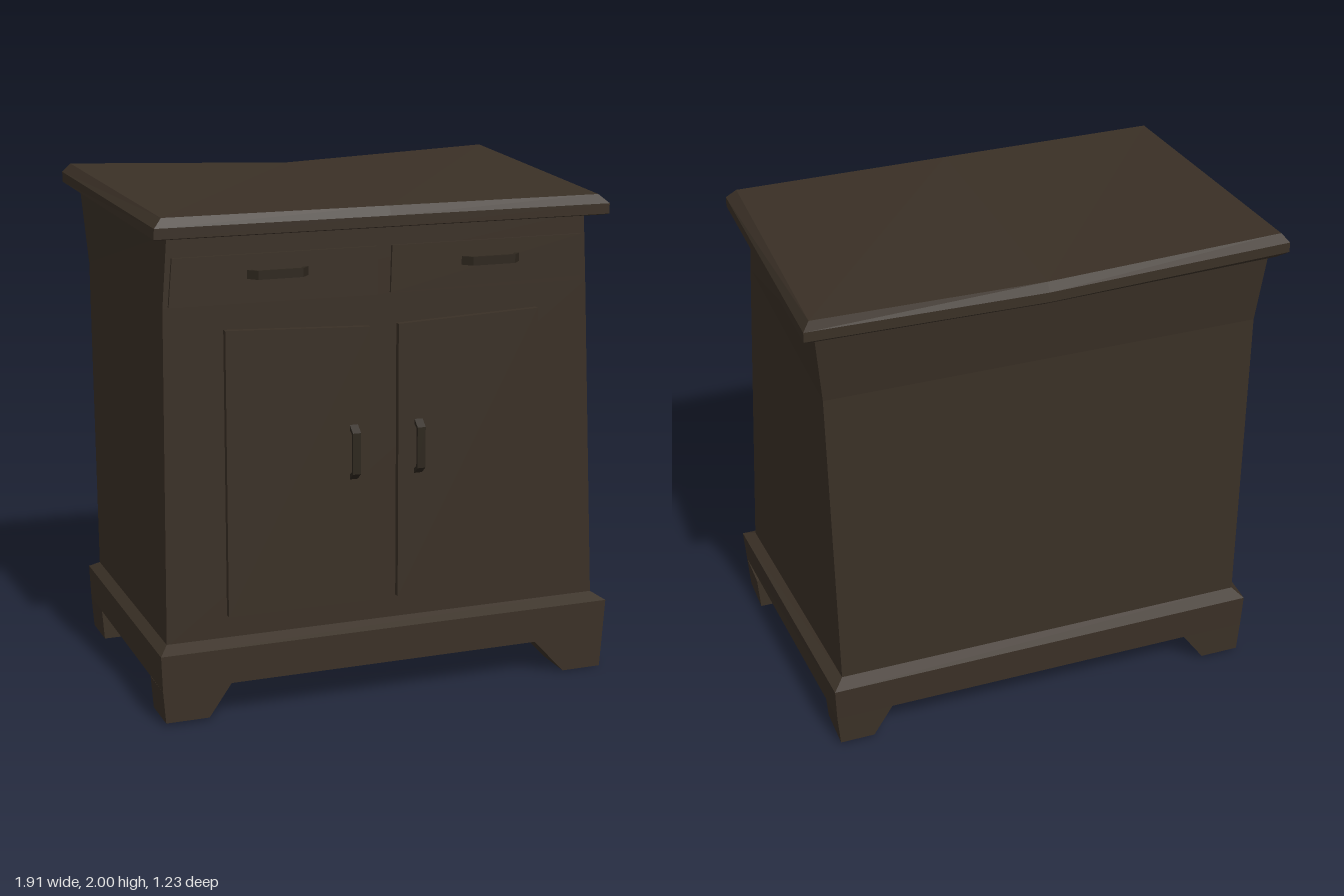
import * as THREE from 'three';

const wood = new THREE.MeshStandardMaterial({ color: 0x3a3026, side: THREE.DoubleSide });
wood.name = 'dark brown wood';
const metal = new THREE.MeshStandardMaterial({ color: 0x2d261d });
metal.name = 'dark handle metal';

// Flat-faced skin through rings of points, with optional end caps
function loft(name, rings, capStart, capEnd, material = wood) {
  const pos = [];
  const quad = (a, b, c, d) => pos.push(...a, ...b, ...c, ...a, ...c, ...d);
  const n = rings[0].length;
  for (let r = 0; r < rings.length - 1; r++) {
    const lo = rings[r], hi = rings[r + 1];
    for (let i = 0; i < n; i++) {
      const j = (i + 1) % n;
      quad(lo[i], lo[j], hi[j], hi[i]);
    }
  }
  for (let i = 0; i < n / 2 - 1; i++) {
    const s = rings[0], e = rings[rings.length - 1];
    if (capStart) quad(s[n - 1 - i], s[n - 2 - i], s[i + 1], s[i]);
    if (capEnd) quad(e[i], e[i + 1], e[n - 2 - i], e[n - 1 - i]);
  }
  const geo = new THREE.BufferGeometry();
  geo.setAttribute('position', new THREE.Float32BufferAttribute(pos, 3));
  geo.computeVertexNormals();
  const mesh = new THREE.Mesh(geo, material);
  mesh.name = name;
  return mesh;
}

// Four-sided panel on the front, corners counterclockwise from lower left
function panel(name, corners, zBack, zFront) {
  const ring = z => corners.map(([x, y]) => [x, y, z]);
  return loft(name, [ring(zBack), ring(zFront)], true, true);
}

// Bent strap handle running along x, standing off the surface at z = 0
function handle(name, half, x, y, z, upright) {
  const inner = half * 0.68, h = 0.036, t = 0.012;
  const shape = new THREE.Shape([
    [-half, 0], [-half + 0.02, 0], [-inner, h - t], [inner, h - t], [half - 0.02, 0],
    [half, 0], [inner + 0.006, h], [-inner - 0.006, h],
  ].map(p => new THREE.Vector2(...p)));
  const geo = new THREE.ExtrudeGeometry(shape, { depth: 0.033, bevelEnabled: false });
  geo.translate(0, 0, -0.0165);
  geo.rotateX(Math.PI / 2);
  if (upright) geo.rotateZ(Math.PI / 2);
  const mesh = new THREE.Mesh(geo, metal);
  mesh.name = name;
  mesh.position.set(x, y, z);
  return mesh;
}

export function createModel() {
  const group = new THREE.Group();
  group.name = 'cabinet';

  // Body, open underneath, flaring at the top of the back
  const bodyFoot = y => [[-0.88, y, 0.55], [0.91, y, 0.55], [0.83, y, -0.515], [-0.87, y, -0.515]];
  group.add(loft('body', [
    bodyFoot(0.3),
    [[-0.87, 1.6, 0.55], [0.845, 1.6, 0.55], [0.845, 1.6, -0.505], [-0.88, 1.6, -0.505]],
    [[-0.85, 1.87, 0.55], [0.83, 1.87, 0.55], [0.875, 1.9, -0.545], [-0.9, 1.9, -0.545]],
  ], false, false));

  // Warped top with a moulded edge and a sag along the back
  group.add(loft('top', [
    [[-0.9, 1.86, 0.595], [0, 1.86, 0.595], [0.89, 1.86, 0.595],
      [0.9, 1.9, -0.58], [0, 1.872, -0.56], [-0.92, 1.9, -0.57]],
    [[-0.915, 1.865, 0.61], [0, 1.865, 0.61], [0.91, 1.865, 0.61],
      [0.93, 1.925, -0.615], [0, 1.89, -0.585], [-0.96, 1.925, -0.595]],
    [[-0.912, 1.905, 0.61], [0, 1.905, 0.61], [0.91, 1.905, 0.61],
      [0.93, 1.965, -0.615], [0, 1.93, -0.585], [-0.96, 1.965, -0.595]],
    [[-0.88, 1.94, 0.59], [0, 1.94, 0.59], [0.87, 1.94, 0.59],
      [0.905, 2, -0.6], [0, 1.965, -0.565], [-0.93, 2, -0.575]],
  ], true, true));

  // Hollow plinth with a sloped upper edge
  group.add(loft('plinth', [
    bodyFoot(0.3),
    bodyFoot(0.14),
    [[-0.912, 0.14, 0.6], [0.945, 0.14, 0.6], [0.87, 0.14, -0.56], [-0.9, 0.14, -0.56]],
    [[-0.917, 0.28, 0.6], [0.955, 0.28, 0.6], [0.875, 0.28, -0.565], [-0.905, 0.28, -0.565]],
    bodyFoot(0.308),
  ], false, false));

  // Feet: outer x at top and bottom, inner x at top and bottom, outer and inner z, base height
  const feet = [
    ['frontRightFoot', -0.912, -0.902, -0.64, -0.73, 0.6, 0.425, 0.012],
    ['frontLeftFoot', 0.945, 0.935, 0.64, 0.77, 0.6, 0.425, 0],
    ['backRightFoot', -0.9, -0.89, -0.64, -0.73, -0.56, -0.38, 0.012],
    ['backLeftFoot', 0.87, 0.86, 0.64, 0.72, -0.56, -0.38, 0.012],
  ];
  for (const [name, outTop, outLow, inTop, inLow, zOut, zIn, y0] of feet) {
    const ring = (a, b, y) => {
      const [x0, x1] = [Math.min(a, b), Math.max(a, b)];
      const [z0, z1] = [Math.min(zOut, zIn), Math.max(zOut, zIn)];
      return [[x0, y, z1], [x1, y, z1], [x1, y, z0], [x0, y, z0]];
    };
    group.add(loft(name, [ring(outLow, inLow, y0), ring(outTop, inTop, 0.14)], true, true));
  }

  // Drawer fronts and doors
  group.add(
    panel('rightDrawer', [[-0.85, 1.605], [-0.035, 1.6], [-0.035, 1.785], [-0.835, 1.785]], 0.54, 0.562),
    panel('leftDrawer', [[0.02, 1.605], [0.815, 1.62], [0.815, 1.785], [0.025, 1.785]], 0.54, 0.562),
    panel('rightDoor', [[-0.64, 0.397], [-0.065, 0.397], [-0.067, 1.483], [-0.64, 1.507]], 0.54, 0.575),
    panel('leftDoor', [[0.052, 0.397], [0.7, 0.387], [0.63, 1.507], [0.048, 1.485]], 0.54, 0.575),
  );

  // Handles
  group.add(
    handle('rightDrawerHandle', 0.12, -0.43, 1.71, 0.562, false),
    handle('leftDrawerHandle', 0.12, 0.43, 1.71, 0.562, false),
    handle('rightDoorHandle', 0.11, -0.133, 1, 0.572, true),
    handle('leftDoorHandle', 0.11, 0.133, 1, 0.572, true),
  );
  return group;
}
